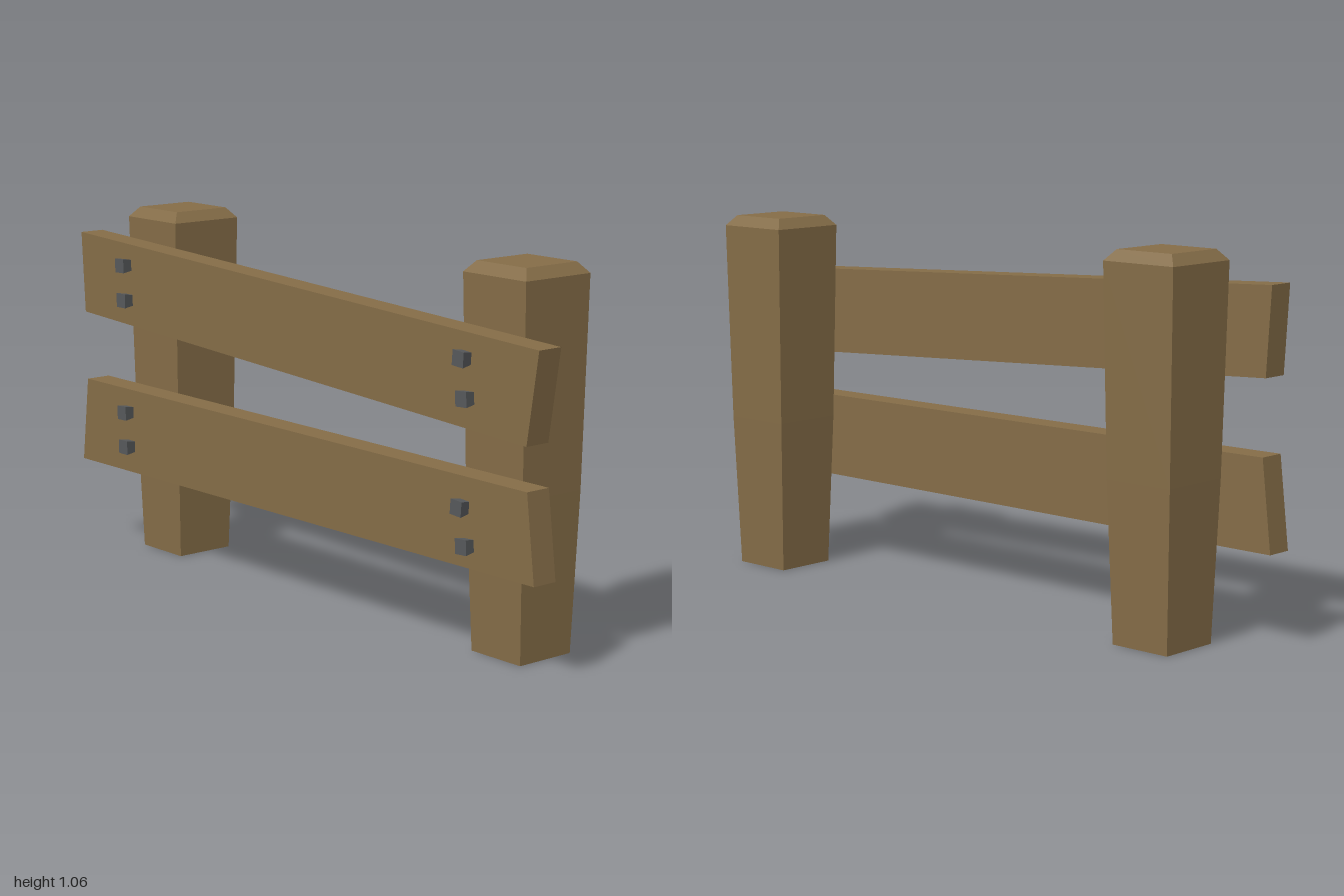
import * as THREE from 'three';

const wood = new THREE.MeshStandardMaterial({ color: 0x846c47, flatShading: true });
wood.name = 'wood';
const iron = new THREE.MeshStandardMaterial({ color: 0x56585a, flatShading: true });
iron.name = 'iron';

// Square-section solid from [halfWidth, height] rings, closed at both ends
function squareLathe(rings) {
  const profile = [[0, rings[0][1]], ...rings, [0, rings[rings.length - 1][1]]];
  const points = profile.map(([h, y]) => new THREE.Vector2(h * Math.SQRT2, y));
  return new THREE.LatheGeometry(points, 4).rotateY(Math.PI / 4);
}

// Flat plank with a four-cornered outline
function plank(corners, depth) {
  const shape = new THREE.Shape(corners.map(([x, y]) => new THREE.Vector2(x, y)));
  return new THREE.ExtrudeGeometry(shape, { depth, bevelEnabled: false });
}

export function createModel() {
  const model = new THREE.Group();
  model.name = 'fence';
  const add = (name, geometry, material, x, y, z) => {
    const mesh = new THREE.Mesh(geometry, material);
    mesh.name = name;
    mesh.position.set(x, y, z);
    model.add(mesh);
    return mesh;
  };

  // Tapered posts with chamfered tops
  const postGeometry = squareLathe([[0.093, 0], [0.107, 0.45], [0.117, 1.03], [0.092, 1.06]]);
  add('rightPost', postGeometry, wood, -0.737, 0, -0.056);
  add('leftPost', postGeometry, wood, 0.745, 0, -0.056);

  // Crooked rails
  const upper = [[-0.975, 0.73], [0.955, 0.627], [0.995, 0.88], [-0.99, 0.975]];
  const lower = [[-1, 0.263], [0.99, 0.267], [0.96, 0.51], [-0.97, 0.52]];
  add('upperRail', plank(upper, 0.078), wood, 0, 0, 0.065);
  add('lowerRail', plank(lower, 0.078), wood, 0, 0, 0.065);

  // Square bolt heads, flaring outwards
  const boltGeometry = squareLathe([[0.016, -0.004], [0.021, 0.032]]).rotateX(Math.PI / 2);
  const bolts = [
    [-0.75, 0.9, 0.03], [-0.745, 0.795, 0], [-0.75, 0.45, 0.03], [-0.745, 0.345, 0],
    [0.732, 0.826, -0.08], [0.745, 0.722, 0.05], [0.73, 0.431, -0.08], [0.75, 0.33, 0.05],
  ];
  for (const [x, y, tilt] of bolts) {
    add('bolt', boltGeometry, iron, x, y, 0.143).rotation.z = tilt;
  }
  return model;
}
